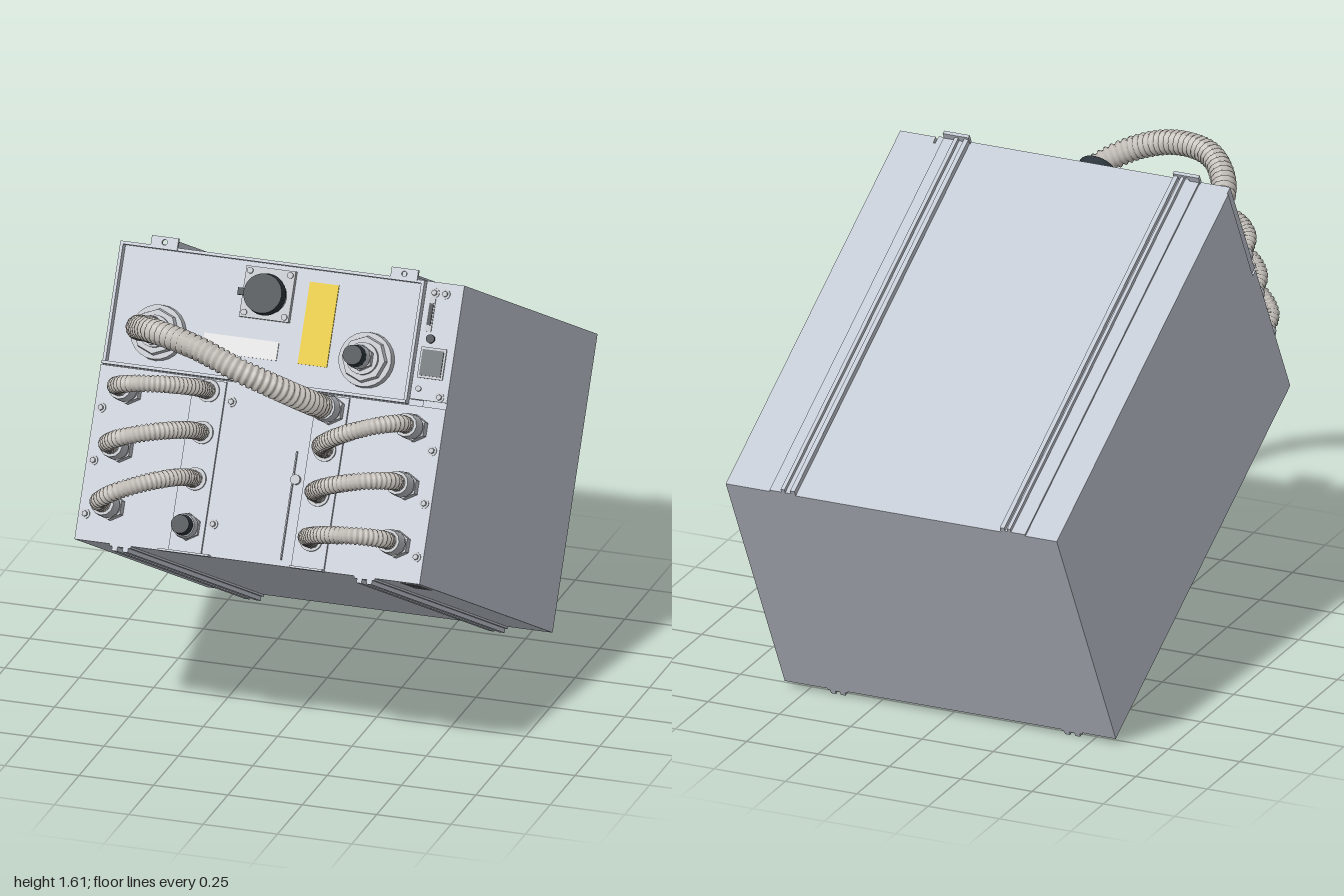
import * as THREE from 'three';
import { toCreasedNormals } from 'three/addons/utils/BufferGeometryUtils.js';

const mat = (name, color) => {
  const m = new THREE.MeshStandardMaterial({ color });
  m.name = name;
  return m;
};

export function createModel() {
  const grey = mat('painted grey', 0xc3c9d2);
  const metal = mat('fitting metal', 0xbcc0c5);
  const hoseMat = mat('hose grey', 0xc4bfb9);
  const dark = mat('dark rubber', 0x2b343b);
  const socketGrey = mat('socket grey', 0x5f666b);
  const yellow = mat('yellow label', 0xdfc005);
  const white = mat('pale label', 0xdcdddc);

  // Unit frame: origin at the lower front edge, +z straight out of the front panel
  const unit = new THREE.Group();
  unit.name = 'tiltedUnit';
  const L = 1.518, H = 0.965, W = 1.16;

  const add = (name, geo, material, x, y, z) => {
    const m = new THREE.Mesh(geo, material);
    m.name = name;
    m.position.set(x, y, z);
    unit.add(m);
  };
  // Box given by its lower and upper limits
  const box = (name, material, x0, x1, y0, y1, z0, z1) =>
    add(name, new THREE.BoxGeometry(x1 - x0, y1 - y0, z1 - z0), material,
      (x0 + x1) / 2, (y0 + y1) / 2, (z0 + z1) / 2);
  // Cylinder standing out of the front panel, from z0 to z1
  const disc = (name, material, x, y, z0, z1, r0, r1 = r0, sides = 24) => {
    const g = new THREE.CylinderGeometry(r1, r0, z1 - z0, sides).rotateX(Math.PI / 2);
    add(name, toCreasedNormals(g, 0.6), material, x, y, (z0 + z1) / 2);
  };

  // Cabinet
  box('cabinet', grey, -W / 2, W / 2, 0, H, -L, -0.025);
  box('lowerFrontPanel', grey, -W / 2, W / 2, 0, 0.565, -0.025, 0);
  box('controlPanel', grey, 0.455, W / 2, 0.585, H, -0.025, 0);
  box('controlPanelFoot', grey, 0.5, W / 2, 0.565, 0.585, -0.025, -0.005);

  // Frame around the recessed upper panel
  box('frameTop', grey, -0.575, 0.447, H - 0.01, H, -0.025, 0.004);
  box('frameBottom', grey, -0.575, 0.447, 0.568, 0.578, -0.025, 0.016);
  box('frameSide', grey, -0.575, -0.565, 0.578, H - 0.01, -0.025, 0.004);
  box('frameSide', grey, 0.437, 0.447, 0.578, H - 0.01, -0.025, 0.004);

  // Ribbed rails above and below, with mounting tabs at the top front
  const rail = (name, x0, x1, y0, dir, ribs) => {
    const lim = h => (dir > 0 ? [y0, y0 + h] : [y0 - h, y0]);
    box(name + 'Base', grey, x0, x1, ...lim(0.007), -L, 0);
    for (const [a, b] of ribs) box(name + 'Rib', grey, a, b, ...lim(0.021), -L, 0);
  };
  rail('topRail', -0.47, -0.385, H, 1, [[-0.421, -0.41], [-0.4, -0.385]]);
  rail('topRail', 0.335, 0.425, H, 1, [[0.335, 0.35], [0.37, 0.383]]);
  rail('bottomRail', -0.462, -0.39, 0, -1, [[-0.452, -0.434], [-0.416, -0.398]]);
  rail('bottomRail', 0.36, 0.43, 0, -1, [[0.371, 0.388], [0.404, 0.422]]);
  for (const x of [-0.428, 0.378]) {
    const s = new THREE.Shape();
    s.moveTo(-0.045, -0.01).lineTo(0.045, -0.01).lineTo(0.045, 0.03).lineTo(-0.045, 0.03).closePath();
    s.holes.push(new THREE.Path().absarc(0, 0.012, 0.009, 0, Math.PI * 2, true));
    add('mountingTab', new THREE.ExtrudeGeometry(s, { depth: 0.012, bevelEnabled: false }), grey, x, H, -0.005);
  }

  // Vent on the underside
  for (let i = 0; i < 6; i++)
    box('ventSlat', grey, 0.508 + i * 0.01, 0.513 + i * 0.01, -0.002, 0.002, -0.2, -0.02);

  // Hose strips, lower brackets and the guide fin
  for (const x of [-0.208, 0.205]) {
    const half = x < 0 ? 0.085 : 0.055;
    box('hoseStrip', grey, x - 0.055, x + 0.055, 0.004, 0.56, 0, 0.01);
    box('lowerBracket', grey, x - half, x + half, -0.002, 0.005, 0, 0.03);
  }
  box('guideFin', grey, 0.11, 0.114, 0.02, 0.37, 0, 0.01);
  disc('guidePin', metal, 0.122, 0.28, 0, 0.015, 0.016);

  // Screws
  const screws = [[-0.13, 0.5], [-0.13, 0.105], [0.28, 0.105], [0.486, 0.93], [0.522, 0.93], [0.553, 0.6]];
  for (const y of [0.085, 0.258, 0.428]) screws.push([-0.557, y], [0.555, y]);
  for (const [x, y] of screws) {
    disc('screwWasher', metal, x, y, 0, 0.004, 0.016);
    disc('screwHead', metal, x, y, 0.004, 0.011, 0.01, 0.009, 6);
  }

  // Ribbed hose: a tube whose rings swell and shrink along its length
  const hose = (name, points, r) => {
    const curve = new THREE.CatmullRomCurve3(points.map(p => new THREE.Vector3(...p)), false, 'centripetal');
    const ribs = Math.round(curve.getLength() / (r * 0.55));
    const n = ribs * 4, sides = 12;
    const g = new THREE.TubeGeometry(curve, n, r, sides);
    const pos = g.attributes.position, v = new THREE.Vector3();
    for (let i = 0; i <= n; i++) {
      const c = curve.getPointAt(i / n);
      const k = i % 4 < 2 ? 1.06 : 0.9;
      for (let j = 0; j <= sides; j++) {
        const id = i * (sides + 1) + j;
        v.fromBufferAttribute(pos, id).sub(c).multiplyScalar(k).add(c);
        pos.setXYZ(id, v.x, v.y, v.z);
      }
    }
    g.computeVertexNormals();
    add(name, g, hoseMat, 0, 0, 0);
  };

  // Cable gland with hex nut, barrel and clamp
  const gland = (x, y, r, z0, len) => {
    disc('glandNut', metal, x, y, z0, z0 + len * 0.3, r * 1.1, r * 1.1, 6);
    disc('glandBarrel', metal, x, y, z0 + len * 0.3, z0 + len * 0.5, r * 0.92);
    disc('glandClamp', metal, x, y, z0 + len * 0.5, z0 + len, r * 1.05, r * 0.95, 12);
  };

  // Six small looping hoses, three each side
  const loop = (xg, yg, xi, yi) => {
    const at = (t, z) => [xg + (xi - xg) * t, yg + (yi - yg) * t, z];
    gland(xg, yg, 0.04, 0, 0.12);
    disc('hoseCollar', metal, xi, yi, 0.01, 0.018, 0.037);
    hose('smallHose', [at(0, 0.09), at(0.02, 0.18), at(0.27, 0.238), at(0.62, 0.222), at(0.93, 0.13), at(1, 0)], 0.027);
  };
  [0.117, 0.305, 0.492].forEach((y, i) => {
    loop(-0.47, y, -0.208, [0.24, 0.39, 0.525][i]);
    loop(0.49, y, 0.205, [0.095, 0.24, 0.385][i]);
  });

  // Large hose from the upper flange down to the strip
  const flange = (x, y) => {
    disc('flange', metal, x, y, -0.025, 0.006, 0.09, 0.088);
    disc('flangeNut', metal, x, y, 0.006, 0.026, 0.076, 0.072, 8);
    disc('flangeNeck', metal, x, y, 0.026, 0.04, 0.052);
  };
  flange(-0.41, 0.69);
  flange(0.29, 0.69);
  gland(-0.41, 0.69, 0.042, 0.04, 0.09);
  gland(0.205, 0.515, 0.044, 0.01, 0.1);
  hose('largeHose', [
    [-0.41, 0.69, 0.1], [-0.42, 0.685, 0.17], [-0.39, 0.682, 0.25], [-0.3, 0.667, 0.35],
    [-0.15, 0.631, 0.4], [0, 0.577, 0.39], [0.11, 0.543, 0.32], [0.185, 0.52, 0.21], [0.205, 0.515, 0.08],
  ], 0.039);

  // Capped glands
  gland(0.29, 0.69, 0.038, 0.04, 0.075);
  disc('rubberCap', dark, 0.29, 0.69, 0.11, 0.15, 0.036, 0.032);
  gland(-0.208, 0.085, 0.04, 0.01, 0.06);
  disc('rubberCap', dark, -0.208, 0.085, 0.065, 0.105, 0.034, 0.03);

  // Round connector on a square plate, with a dark lid and strap
  box('connectorPlate', metal, -0.15, 0.015, 0.775, 0.94, -0.025, -0.006);
  for (const x of [-0.135, 0]) for (const y of [0.79, 0.925])
    disc('plateScrew', metal, x, y, -0.006, 0, 0.01);
  disc('connectorBarrel', metal, -0.062, 0.852, -0.006, 0.035, 0.06);
  disc('connectorLid', dark, -0.06, 0.852, 0.035, 0.072, 0.068, 0.064);
  box('lidStrap', dark, -0.15, -0.1, 0.84, 0.863, 0.036, 0.05);

  // Labels
  box('yellowLabel', yellow, 0.062, 0.16, 0.65, 0.915, -0.025, -0.021);
  box('paleLabel', white, -0.26, -0.01, 0.65, 0.71, -0.025, -0.021);

  // Control panel: slot connector, button and socket
  box('slotFrame', metal, 0.472, 0.493, 0.805, 0.915, 0, 0.004);
  box('slot', dark, 0.476, 0.489, 0.825, 0.895, 0.004, 0.008);
  disc('button', dark, 0.496, 0.782, 0, 0.01, 0.014);
  box('socketFrame', metal, 0.47, 0.555, 0.655, 0.755, 0, 0.006);
  box('socket', socketGrey, 0.477, 0.548, 0.663, 0.747, 0.006, 0.01);
  disc('lamp', metal, 0.48, 0.62, 0, 0.006, 0.009);

  // Lean the whole unit back
  unit.rotation.x = -THREE.MathUtils.degToRad(28);
  unit.position.set(0, 0.735, 0.808);
  const model = new THREE.Group();
  model.name = 'equipmentCabinet';
  model.add(unit);
  return model;
}
